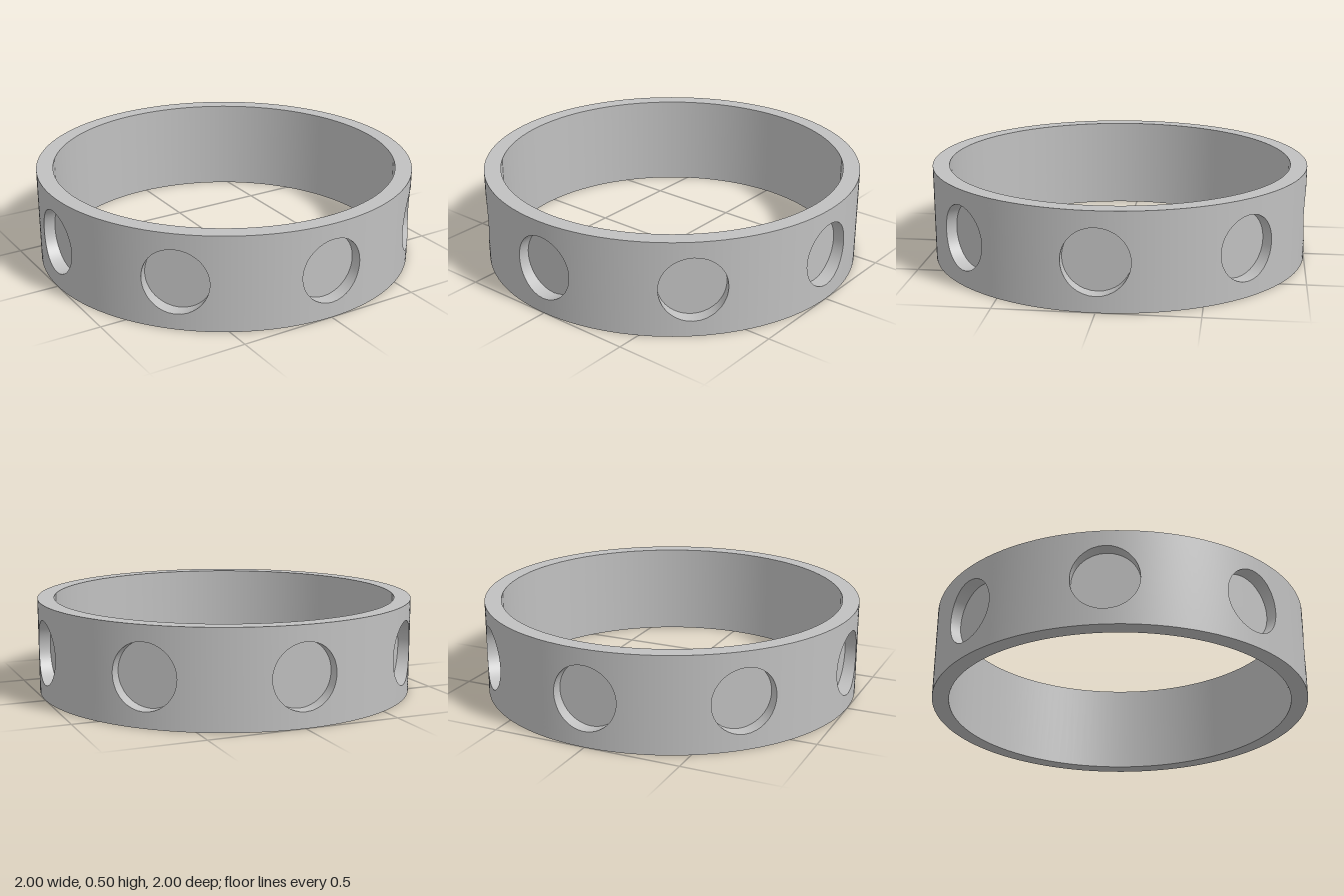
import * as THREE from 'three';

const OUTER = 1, INNER = 0.912, HEIGHT = 0.5, MID = HEIGHT / 2;
const POCKETS = 8, HOLE = 0.168, FLOOR = 0.926, SIDE = 16;
const HALF = Math.PI / POCKETS;

// Grid surface: at(u, v) returns [position, normal]; the front side is dv x du
function grid(nu, nv, at) {
  const pos = [], nor = [], idx = [];
  for (let j = 0; j <= nv; j++) {
    for (let i = 0; i <= nu; i++) {
      const [p, n] = at(i / nu, j / nv);
      pos.push(...p);
      nor.push(...n);
      if (i < nu && j < nv) {
        const a = j * (nu + 1) + i, b = a + nu + 1;
        idx.push(a, b, a + 1, b, b + 1, a + 1);
      }
    }
  }
  const g = new THREE.BufferGeometry();
  g.setAttribute('position', new THREE.Float32BufferAttribute(pos, 3));
  g.setAttribute('normal', new THREE.Float32BufferAttribute(nor, 3));
  g.setIndex(idx);
  return g;
}

// Point on the border of one sector, counterclockwise from the lower right: [angle, height]
function border(u) {
  const s = (u % 1) * 4, k = Math.floor(s), f = 2 * (s - k) - 1;
  const [x, y] = [[1, f], [-f, 1], [-1, -f], [f, -1]][k];
  return [x * HALF, y * MID];
}

// Matching direction around the pocket
function around(u) {
  const [x, y] = border(u), t = Math.atan2(y, x);
  return [Math.cos(t), Math.sin(t)];
}

export function createModel() {
  const metal = new THREE.MeshStandardMaterial({ color: 0xc0c0c0 });
  metal.name = 'grey metal';
  const model = new THREE.Group();
  model.name = 'pocketedRing';
  const add = (parent, name, geometry) => {
    const mesh = new THREE.Mesh(geometry, metal);
    mesh.name = name;
    parent.add(mesh);
    return mesh;
  };

  // Outer wall of one sector, from the pocket rim out to the sector border
  const wall = grid(SIDE * 4, 8, (u, v) => {
    const [c, s] = around(u), [bx, by] = border(u);
    const a = THREE.MathUtils.lerp(Math.asin(HOLE * c), bx, v);
    const y = THREE.MathUtils.lerp(HOLE * s, by, v);
    const n = [Math.sin(a), 0, Math.cos(a)];
    return [[OUTER * n[0], MID + y, OUTER * n[2]], n];
  });

  // Round pocket side, from its flat floor to the curved rim
  const pocketSide = grid(SIDE * 4, 1, (u, v) => {
    const [c, s] = around(u);
    const rim = Math.sqrt(OUTER ** 2 - (HOLE * c) ** 2);
    return [[HOLE * c, MID + HOLE * s, v ? rim : FLOOR], [-c, -s, 0]];
  });

  // Flat pocket floor
  const pocketFloor = grid(SIDE * 4, 1, (u, v) => {
    const [c, s] = around(u);
    return [[HOLE * c * v, MID + HOLE * s * v, FLOOR], [0, 0, 1]];
  });

  for (let i = 0; i < POCKETS; i++) {
    const sector = new THREE.Group();
    sector.name = 'sector' + (i + 1);
    sector.rotation.y = i * 2 * HALF;
    add(sector, 'outerWall', wall);
    add(sector, 'pocketSide', pocketSide);
    add(sector, 'pocketFloor', pocketFloor);
    model.add(sector);
  }

  // Smooth inner wall
  const segments = POCKETS * SIDE;
  add(model, 'innerWall', grid(segments, 1, (u, v) => {
    const a = u * Math.PI * 2, x = Math.sin(a), z = Math.cos(a);
    return [[INNER * x, HEIGHT * v, INNER * z], [-x, 0, -z]];
  }));

  // Flat top and bottom edges
  const edge = new THREE.RingGeometry(INNER, OUTER, segments);
  const top = add(model, 'topEdge', edge);
  top.rotation.x = -Math.PI / 2;
  top.position.y = HEIGHT;
  add(model, 'bottomEdge', edge).rotation.x = Math.PI / 2;

  return model;
}
